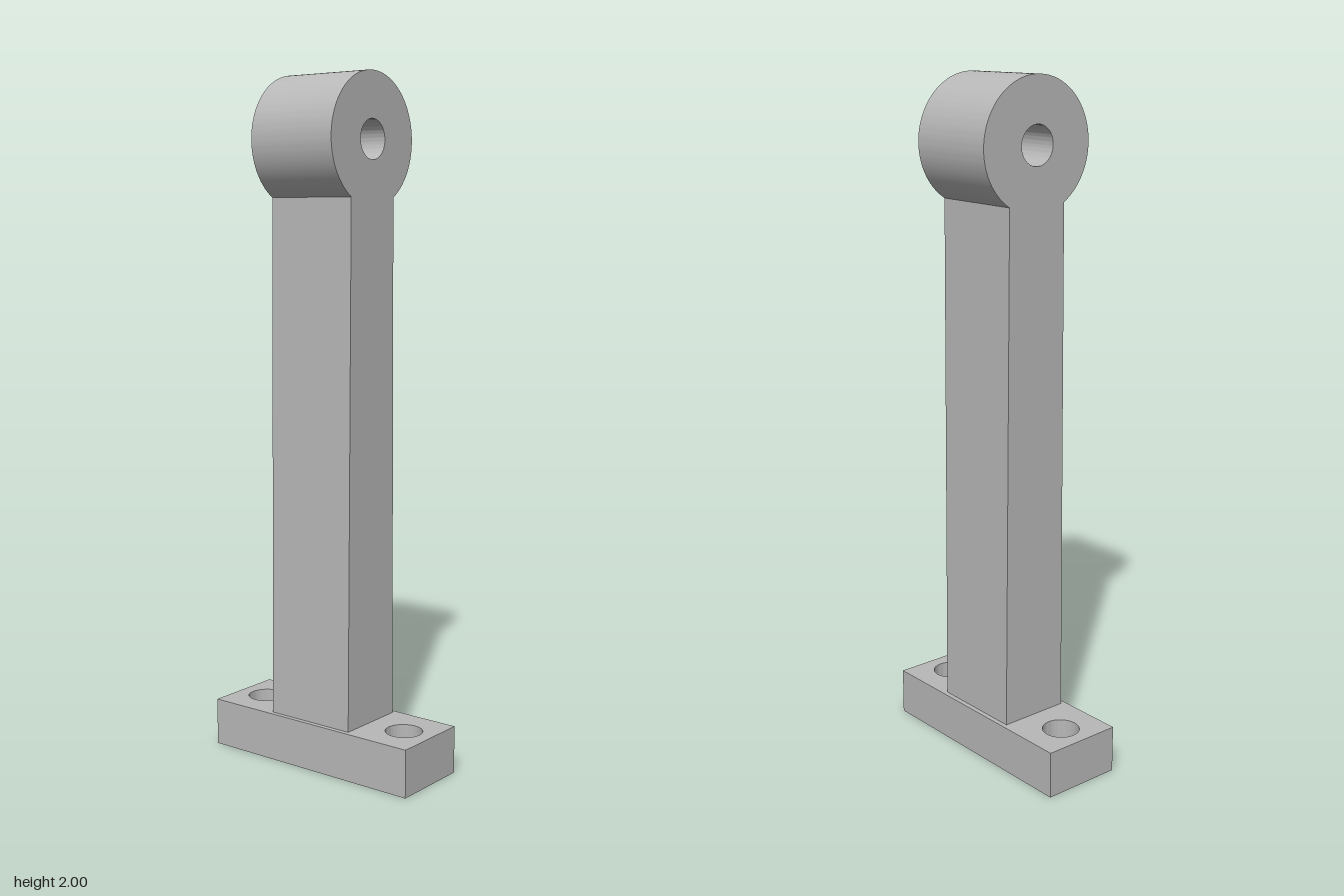
import * as THREE from 'three';
import { toCreasedNormals } from 'three/addons/utils/BufferGeometryUtils.js';

const FOOT = { halfX: 0.1225, halfZ: 0.3525, height: 0.14, holeZ: 0.26, holeR: 0.054 };
const EYE = { y: 1.8135, r: 0.1865, holeR: 0.056 };
const COLUMN = { bottom: 0.108, top: 0.098, depth: 0.282 };

function circleHole(x, y, r) {
  return new THREE.Path().absarc(x, y, r, 0, Math.PI * 2, true);
}

// Extrude with smooth round walls and sharp edges
function extrude(shape, depth) {
  const geometry = new THREE.ExtrudeGeometry(shape, { depth, bevelEnabled: false, curveSegments: 64 });
  return toCreasedNormals(geometry, Math.PI / 6);
}

export function createModel() {
  const model = new THREE.Group();
  model.name = 'eyeBracket';
  const steel = new THREE.MeshStandardMaterial({ color: 0xb8b8b8 });
  steel.name = 'grey steel';

  // Foot plate with two vertical bolt holes
  const { halfX, halfZ } = FOOT;
  const footShape = new THREE.Shape([
    new THREE.Vector2(-halfX, -halfZ), new THREE.Vector2(halfX, -halfZ),
    new THREE.Vector2(halfX, halfZ), new THREE.Vector2(-halfX, halfZ),
  ]);
  for (const side of [-1, 1]) footShape.holes.push(circleHole(0, side * FOOT.holeZ, FOOT.holeR));
  const foot = new THREE.Mesh(extrude(footShape, FOOT.height).rotateX(-Math.PI / 2), steel);
  foot.name = 'footPlate';

  // Slightly tapered column flowing into the round pin eye
  const drop = Math.sqrt(EYE.r ** 2 - COLUMN.top ** 2);
  const start = Math.atan2(-drop, COLUMN.top);
  const columnShape = new THREE.Shape();
  columnShape.moveTo(-COLUMN.bottom, FOOT.height);
  columnShape.lineTo(COLUMN.bottom, FOOT.height);
  columnShape.lineTo(COLUMN.top, EYE.y - drop);
  columnShape.absarc(0, EYE.y, EYE.r, start, Math.PI - start, false);
  columnShape.closePath();
  columnShape.holes.push(circleHole(0, EYE.y, EYE.holeR));
  const column = new THREE.Mesh(extrude(columnShape, COLUMN.depth).translate(0, 0, -COLUMN.depth / 2), steel);
  column.name = 'columnWithPinEye';

  model.add(foot, column);
  return model;
}
